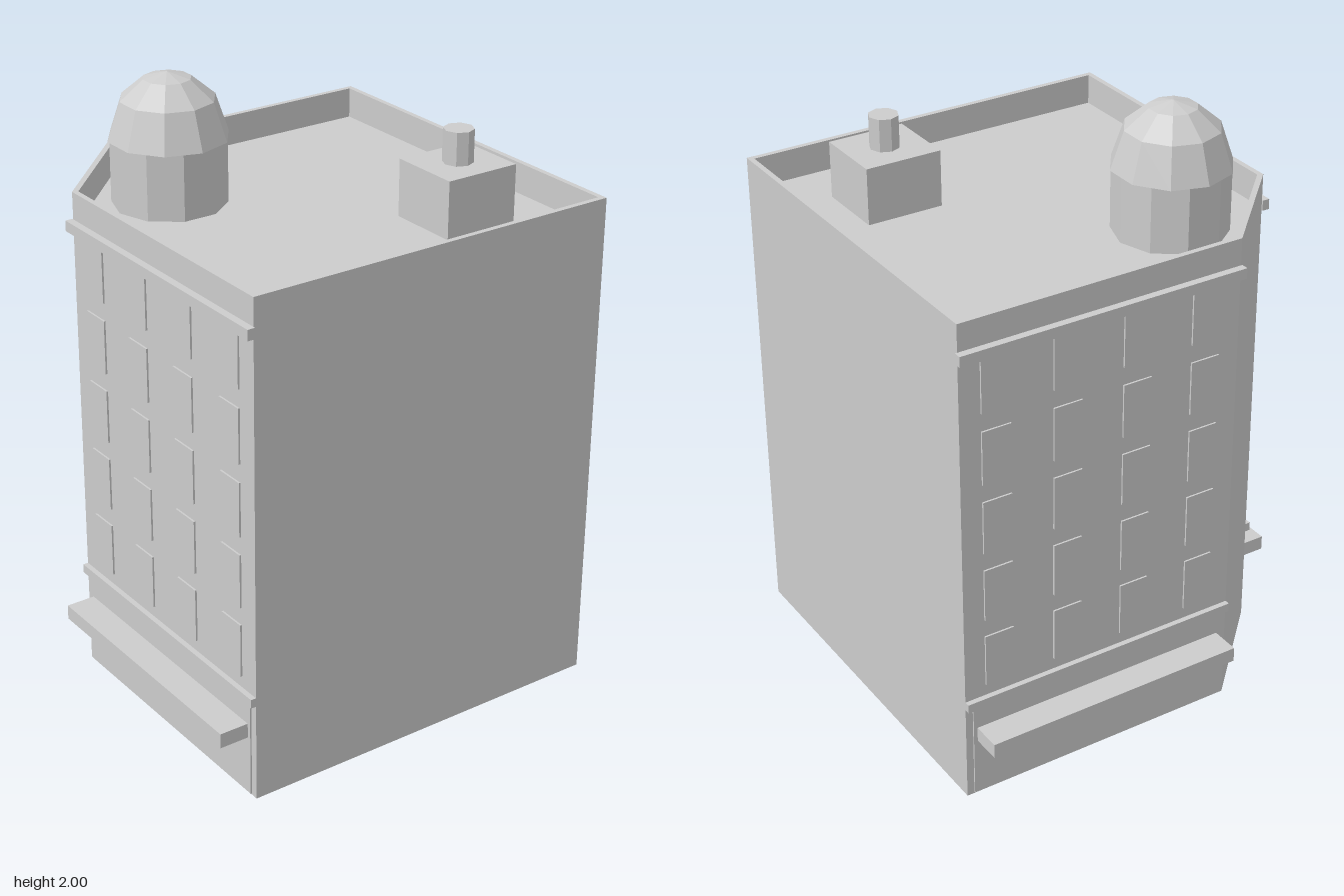
import * as THREE from 'three';

const stone = new THREE.MeshStandardMaterial({ color: 0xcccccc, flatShading: true });
stone.name = 'pale grey stone';

const WALL = 0.603, FAR = 0.7, CUT = 0.28, ROOF = 1.573, RIM = 1.675;

function add(parent, name, geometry, x = 0, y = 0, z = 0) {
  const mesh = new THREE.Mesh(geometry, stone);
  mesh.name = name;
  mesh.position.set(x, y, z);
  parent.add(mesh);
  return mesh;
}

// Square plan with one cut corner, inset by d
function plan(d) {
  const w = WALL - d, f = FAR - d, c = CUT - d * 0.414;
  return [[-w, -c], [-c, -w], [f, -w], [f, f], [-w, f]].map(([x, y]) => new THREE.Vector2(x, y));
}

function extrudeUp(shape, depth) {
  return new THREE.ExtrudeGeometry(shape, { depth, bevelEnabled: false }).rotateX(-Math.PI / 2);
}

// Box standing out from a street wall; side = true mirrors it to the right wall
function wallBox(parent, name, u0, u1, y0, y1, out, side) {
  const mid = (u0 + u1) / 2, w = u1 - u0, y = (y0 + y1) / 2, h = y1 - y0, p = WALL + out / 2;
  if (side) add(parent, name, new THREE.BoxGeometry(out, h, w), -p, y, -mid);
  else add(parent, name, new THREE.BoxGeometry(w, h, out), mid, y, p);
}

function streetWall(name, side) {
  const g = new THREE.Group();
  g.name = name;
  wallBox(g, 'cornice', -0.285, 0.707, 1.55, 1.585, 0.025, side);
  wallBox(g, 'lowerBand', -0.28, 0.7, 0.335, 0.365, 0.018, side);
  wallBox(g, 'awning', -0.243, 0.662, 0.205, 0.255, 0.104, side);
  wallBox(g, 'shopFront', -0.26, 0.675, 0.005, 0.335, 0.005, side);
  // Five rows of four windows
  for (let row = 0; row < 5; row++) {
    for (let col = 0; col < 4; col++) {
      const u = -0.157 + col * 0.245, top = 1.545 - row * 0.24;
      wallBox(g, 'window', u - 0.05, u + 0.05, top - 0.18, top, 0.006, side);
    }
  }
  return g;
}

export function createModel() {
  const model = new THREE.Group();
  model.name = 'cornerBuilding';

  // Main block and roof parapet
  add(model, 'mainBlock', extrudeUp(new THREE.Shape(plan(0)), ROOF));
  const ring = new THREE.Shape(plan(0));
  ring.holes.push(new THREE.Path(plan(0.018)));
  add(model, 'parapet', extrudeUp(ring, RIM - ROOF), 0, ROOF, 0);

  model.add(streetWall('frontWall', false), streetWall('rightWall', true));

  // Corner turret with faceted dome
  const turret = new THREE.Group();
  turret.name = 'turret';
  turret.position.set(-0.265, 0, 0.26);
  add(turret, 'turretDrum', new THREE.CylinderGeometry(0.185, 0.185, 1.79 - ROOF, 10), 0, (1.79 + ROOF) / 2, 0);
  const profile = [[0, 1.79], [0.195, 1.79], [0.153, 1.915], [0.077, 1.98], [0, 2]];
  const dome = new THREE.LatheGeometry(profile.map(([r, y]) => new THREE.Vector2(r, y)), 10);
  add(turret, 'turretDome', dome.rotateY(Math.PI / 2));
  model.add(turret);

  // Roof hut and chimney
  add(model, 'roofHut', new THREE.BoxGeometry(0.243, 1.762 - ROOF, 0.26), 0.373, (1.762 + ROOF) / 2, -0.38);
  add(model, 'chimney', new THREE.CylinderGeometry(0.049, 0.049, 0.108, 8), 0.373, 1.816, -0.38);

  return model;
}
